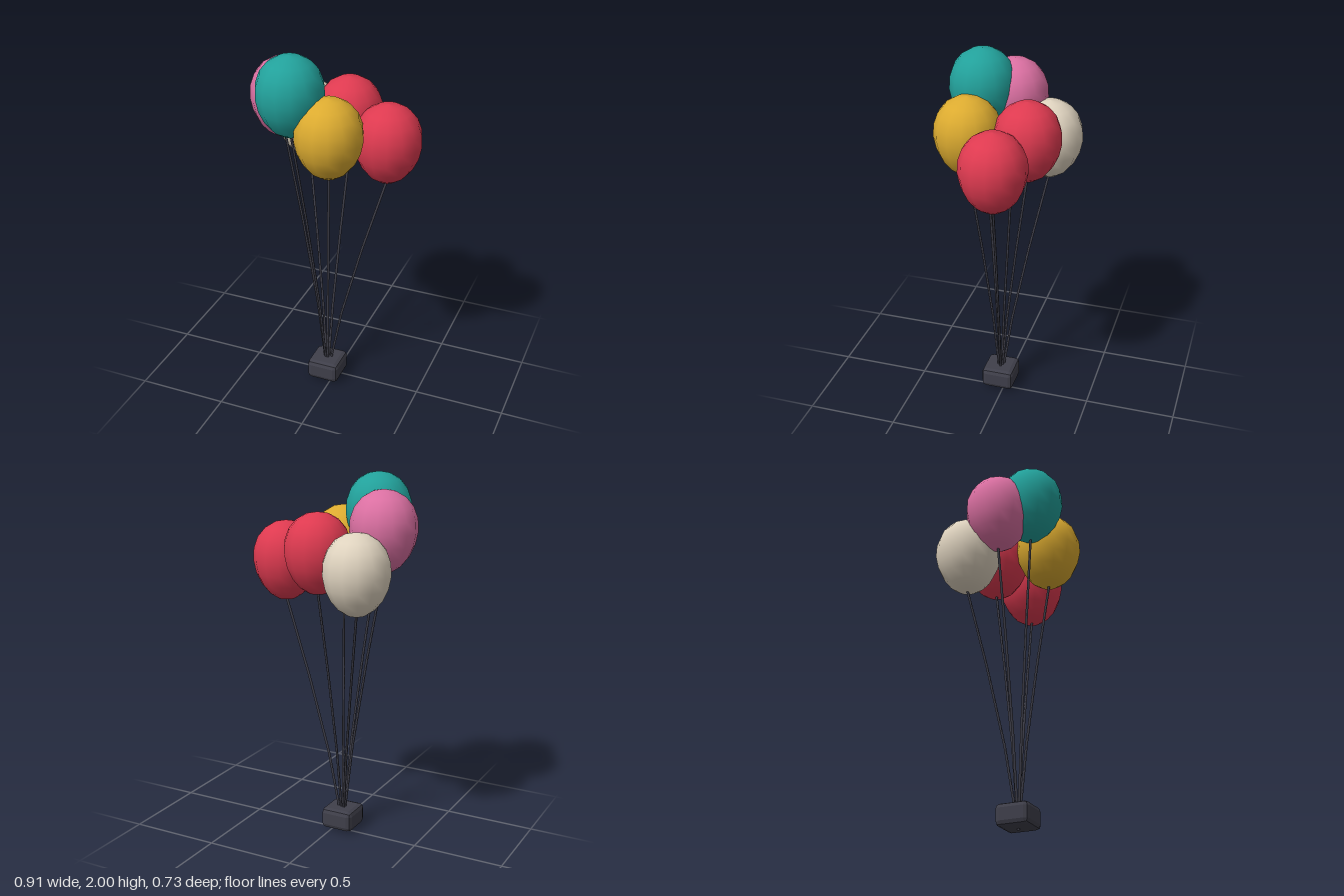
import * as THREE from 'three';
import { RoundedBoxGeometry } from 'three/addons/geometries/RoundedBoxGeometry.js';

const paint = (name, color) => {
  const m = new THREE.MeshStandardMaterial({ color });
  m.name = name;
  return m;
};

export function createModel() {
  const model = new THREE.Group();
  model.name = 'balloonBunch';
  const teal = paint('teal', 0x22a19b), pink = paint('pink', 0xdb70a2);
  const cream = paint('cream', 0xdfd3bf), red = paint('red', 0xde3a50);
  const gold = paint('gold', 0xdcab30), charcoal = paint('charcoal', 0x3f3f4a);
  const baseX = -0.04, baseZ = 0.03;

  // weight: a bevelled block
  const block = new RoundedBoxGeometry(0.185, 0.118, 0.185, 1, 0.026);
  block.computeVertexNormals();
  const weight = new THREE.Mesh(block, charcoal);
  weight.name = 'weight';
  weight.position.set(baseX, 0.069, baseZ);
  model.add(weight);

  // balloon: egg profile, narrower toward the knot
  const profile = [];
  for (let i = 0; i <= 10; i++) {
    const a = (i / 10) * Math.PI, y = -Math.cos(a);
    profile.push(new THREE.Vector2(i % 10 ? Math.sin(a) * 0.178 * (1 + 0.1 * y) : 0, y * 0.217));
  }
  const egg = new THREE.LatheGeometry(profile, 14);

  // string: three straight lengths, bowed inward
  function makeString(x, y, z) {
    const path = new THREE.CurvePath();
    const at = u => {
      const f = Math.pow(u, 1.25);
      return new THREE.Vector3(baseX + (x - baseX) * f, y * u, baseZ + (z - baseZ) * f);
    };
    for (let i = 0; i < 3; i++) path.add(new THREE.LineCurve3(at(i / 3), at((i + 1) / 3)));
    return new THREE.Mesh(new THREE.TubeGeometry(path, 24, 0.007, 5), charcoal);
  }

  const bunch = [
    ['tealBalloon', teal, -0.178, 1.785, 0.168],
    ['pinkBalloon', pink, -0.278, 1.713, 0.02],
    ['creamBalloon', cream, -0.228, 1.518, -0.187],
    ['redSideBalloon', red, 0.277, 1.523, -0.026],
    ['redRearBalloon', red, 0.025, 1.597, -0.133],
    ['goldBalloon', gold, 0.036, 1.597, 0.184],
  ];
  bunch.forEach(([name, material, x, y, z], i) => {
    const balloon = new THREE.Mesh(egg, material);
    balloon.name = name;
    balloon.position.set(x, y, z);
    balloon.rotation.y = i * 0.7;
    const string = makeString(x, y - 0.212, z);
    string.name = name + 'String';
    model.add(balloon, string);
  });
  return model;
}
